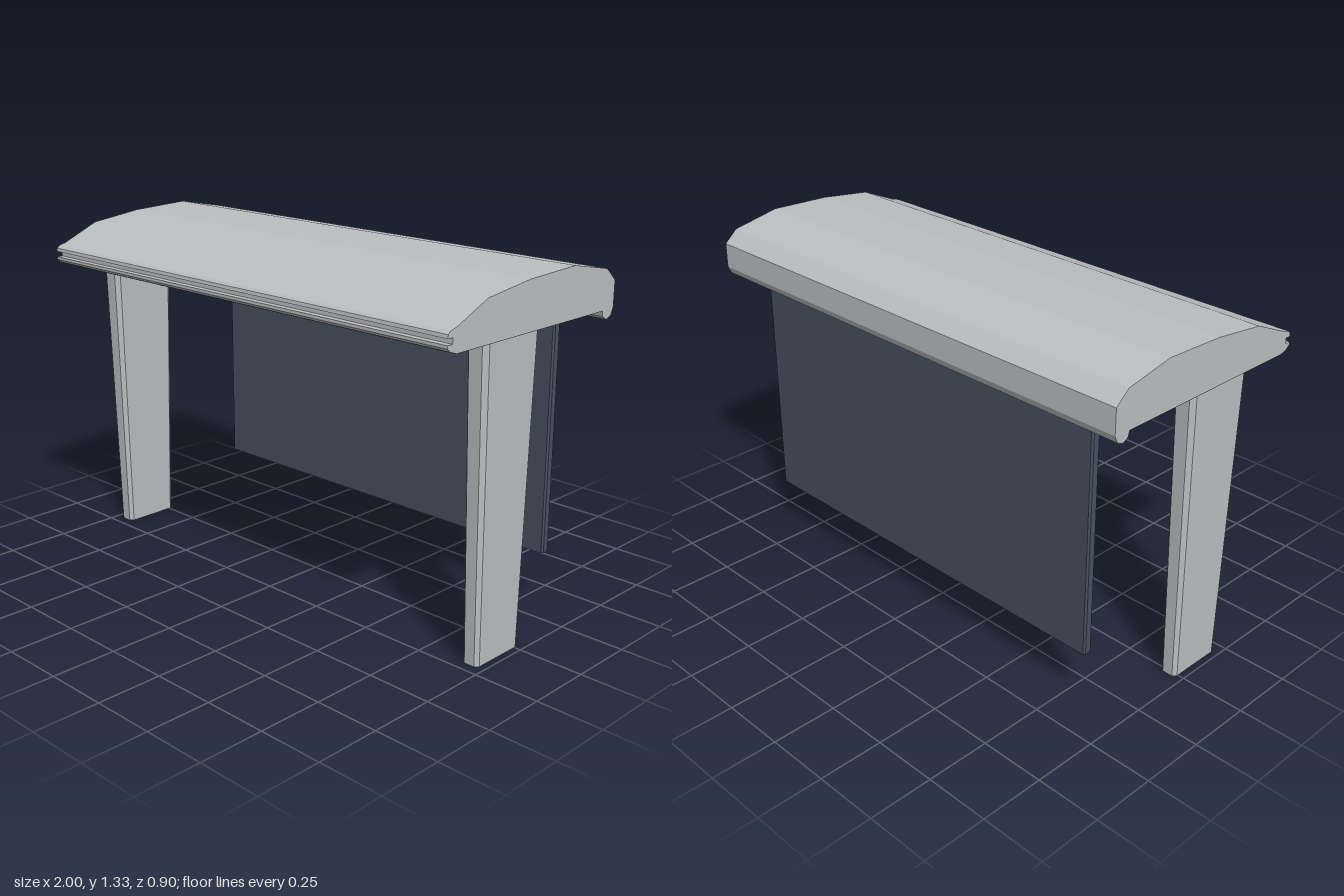
import * as THREE from 'three';

const grey = new THREE.MeshStandardMaterial({ name: 'lightGrey', color: 0xbcbec0 });
const slate = new THREE.MeshStandardMaterial({ name: 'darkSlate', color: 0x465060 });

// Roof cross-section as [z, y], running over the top from front to back
const ROOF = [
  [0.428, 1.198], [0.452, 1.198], [0.45, 1.211], [0.438, 1.221], [0.41, 1.228],
  [0.26, 1.293], [0.045, 1.319], [-0.205, 1.328], [-0.397, 1.29], [-0.45, 1.243],
  [-0.45, 1.148], [-0.437, 1.12], [-0.41, 1.11], [-0.388, 1.123], [-0.382, 1.145],
  [0.41, 1.145], [0.436, 1.153], [0.452, 1.166], [0.452, 1.177], [0.428, 1.177],
];

// Upright block with chamfered vertical edges, standing on y = 0
function chamferedBlock(w, d, h, cx, cz) {
  const x = w / 2, z = d / 2;
  const outline = [
    [x, -z + cz], [x, z - cz], [x - cx, z], [-x + cx, z],
    [-x, z - cz], [-x, -z + cz], [-x + cx, -z], [x - cx, -z],
  ];
  const shape = new THREE.Shape(outline.map(p => new THREE.Vector2(...p)));
  return new THREE.ExtrudeGeometry(shape, { depth: h, bevelEnabled: false }).rotateX(-Math.PI / 2);
}

function add(parent, name, geometry, material, x = 0, y = 0, z = 0) {
  const mesh = new THREE.Mesh(geometry, material);
  mesh.name = name;
  mesh.position.set(x, y, z);
  parent.add(mesh);
  return mesh;
}

export function createModel() {
  const model = new THREE.Group();
  model.name = 'shelter';

  // Curved roof with a grooved front edge and a rear lip
  const section = new THREE.Shape(ROOF.map(([z, y]) => new THREE.Vector2(-z, y)));
  const roof = new THREE.ExtrudeGeometry(section, { depth: 2, bevelEnabled: false });
  roof.translate(0, 0, -1).rotateY(Math.PI / 2);
  add(model, 'roof', roof, grey);

  // Dark lining under the roof
  add(model, 'roofLining', new THREE.BoxGeometry(1.998, 0.003, 0.79), slate, 0, 1.1445, 0.014);

  // Tapered legs, wider at the top
  const legHeight = 1.146;
  const leg = chamferedBlock(0.066, 0.23, legHeight, 0.012, 0.014);
  const pos = leg.attributes.position;
  for (let i = 0; i < pos.count; i++) {
    const t = pos.getY(i) / legHeight;
    pos.setX(i, pos.getX(i) * (1 + 0.3 * t));
    pos.setZ(i, pos.getZ(i) * (1 + 0.25 * t));
  }
  leg.computeVertexNormals();
  for (const [name, side] of [['leftLeg', 1], ['rightLeg', -1]]) {
    add(model, name, leg, grey, side * 0.941, 0, 0.096);
  }

  // Hanging back panel
  add(model, 'backPanel', chamferedBlock(1.688, 0.038, 0.933, 0.006, 0.007), slate, 0, 0.213, -0.35);

  return model;
}
